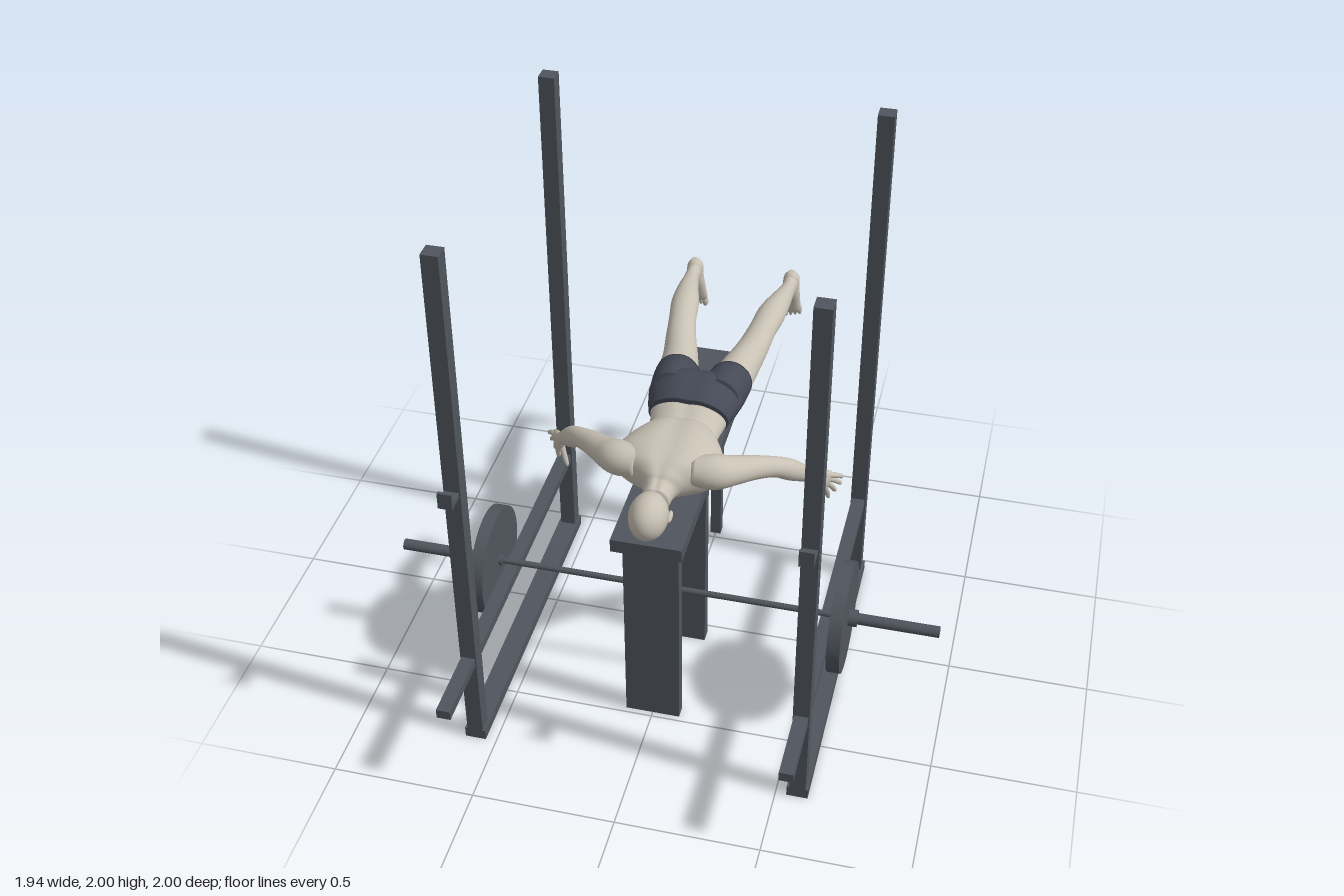
import * as THREE from 'three';

const mat = (name, color) => {
  const m = new THREE.MeshStandardMaterial({ color });
  m.name = name;
  return m;
};

// Smooth closed tube of elliptical rings; each section is [x, y, z, sideRadius, upRadius].
function loft(sections, { up = [0, 1, 0], rings = 24, sides = 28, groove = 0 } = {}) {
  const path = new THREE.CatmullRomCurve3(sections.map(s => new THREE.Vector3(s[0], s[1], s[2])), false, 'catmullrom');
  const radii = new THREE.CatmullRomCurve3(sections.map(s => new THREE.Vector3(s[3], s[4], 0)), false, 'catmullrom');
  const upRef = new THREE.Vector3(...up);
  const pos = [], idx = [];
  for (let i = 0; i <= rings; i++) {
    const u = i / rings, c = path.getPoint(u), r = radii.getPoint(u), t = path.getTangent(u);
    const side = new THREE.Vector3().crossVectors(upRef, t).normalize();
    const upv = new THREE.Vector3().crossVectors(t, side);
    for (let j = 0; j < sides; j++) {
      const a = j / sides * Math.PI * 2;
      const dip = 1 - groove * Math.exp(-((a - Math.PI / 2) ** 2) / 0.05);
      const p = c.clone().addScaledVector(side, Math.cos(a) * r.x).addScaledVector(upv, Math.sin(a) * r.y * dip);
      pos.push(p.x, p.y, p.z);
    }
  }
  for (let i = 0; i < rings; i++) {
    for (let j = 0; j < sides; j++) {
      const k = (j + 1) % sides, a = i * sides, b = a + sides;
      idx.push(a + j, a + k, b + j, a + k, b + k, b + j);
    }
  }
  // end caps
  const first = pos.length / 3, last = rings * sides;
  const p0 = path.getPoint(0), p1 = path.getPoint(1);
  pos.push(p0.x, p0.y, p0.z, p1.x, p1.y, p1.z);
  for (let j = 0; j < sides; j++) {
    const k = (j + 1) % sides;
    idx.push(first, k, j, first + 1, last + j, last + k);
  }
  const g = new THREE.BufferGeometry();
  g.setAttribute('position', new THREE.Float32BufferAttribute(pos, 3));
  g.setIndex(idx);
  g.computeVertexNormals();
  return g;
}

export function createModel() {
  const model = new THREE.Group();
  const steel = mat('dark steel', 0x50555d);
  const skin = mat('pale skin', 0xc8c1b4);
  const cloth = mat('shorts cloth', 0x444955);

  const add = (parent, name, geo, material) => {
    const mesh = new THREE.Mesh(geo, material);
    mesh.name = name;
    parent.add(mesh);
    return mesh;
  };
  const group = name => {
    const g = new THREE.Group();
    g.name = name;
    model.add(g);
    return g;
  };
  // box given by its limits on each axis
  const box = (parent, name, [x0, x1], [y0, y1], [z0, z1]) =>
    add(parent, name, new THREE.BoxGeometry(x1 - x0, y1 - y0, z1 - z0), steel)
      .position.set((x0 + x1) / 2, (y0 + y1) / 2, (z0 + z1) / 2);
  const ball = (parent, name, [x, y, z], [rx, ry, rz]) => {
    const m = add(parent, name, new THREE.SphereGeometry(1, 32, 20), skin);
    m.position.set(x, y, z);
    m.scale.set(rx, ry, rz);
    return m;
  };

  // Rack: base rails, uprights, safety bars and hooks
  const rack = group('rack');
  for (const s of [-1, 1]) {
    const span = half => [s * 0.575 - half, s * 0.575 + half];
    box(rack, 'baseRail', span(0.037), [0, 0.04], [-0.455, 0.745]);
    box(rack, 'frontUpright', span(0.028), [0, 2], [0.69, 0.745]);
    box(rack, 'rearUpright', span(0.028), [0, 2], [-0.455, -0.4]);
    box(rack, 'safetyBar', span(0.024), [0.355, 0.39], [-0.4, 1]);
    box(rack, 'hookArm', span(0.024), [1.103, 1.12], [0.745, 0.812]);
    box(rack, 'hookLip', span(0.024), [1.12, 1.163], [0.8, 0.812]);
  }

  // Bench
  const bench = group('bench');
  box(bench, 'pad', [-0.122, 0.122], [0.79, 0.84], [-0.6, 0.54]);
  box(bench, 'frontLeg', [-0.097, 0.097], [0, 0.79], [0.435, 0.48]);
  box(bench, 'middleLeg', [-0.097, 0.097], [0, 0.79], [0.035, 0.08]);
  box(bench, 'rearLeg', [-0.02, 0.02], [0, 0.79], [-0.565, -0.525]);

  // Barbell
  const barbell = group('barbell');
  barbell.position.set(0, 0.433, 0.288);
  const rod = (name, r, x0, x1, n = 32) => {
    const m = add(barbell, name, new THREE.CylinderGeometry(r, r, Math.abs(x1 - x0), n), steel);
    m.rotation.z = Math.PI / 2;
    m.position.x = (x0 + x1) / 2;
  };
  rod('shaft', 0.011, -0.61, 0.61);
  for (const s of [-1, 1]) {
    rod('sleeve', 0.02, s * 0.595, s * 0.968);
    rod('weightPlate', 0.196, s * 0.608, s * 0.654, 64);
    rod('collar', 0.03, s * 0.654, s * 0.684);
  }

  // Figure lying face down
  const figure = group('figure');
  add(figure, 'torso', loft([
    [0, 0.925, 0.42, 0.048, 0.052], [0, 0.928, 0.36, 0.055, 0.058], [0, 0.935, 0.325, 0.09, 0.075],
    [0, 0.94, 0.28, 0.17, 0.092], [0, 0.94, 0.22, 0.195, 0.1], [0, 0.938, 0.15, 0.172, 0.097],
    [0, 0.927, 0.08, 0.14, 0.088], [0, 0.91, 0.02, 0.122, 0.069], [0, 0.925, -0.07, 0.14, 0.082],
  ], { rings: 40, sides: 48, groove: 0.1 }), skin);

  ball(figure, 'cranium', [0, 0.932, 0.498], [0.066, 0.08, 0.087]);
  ball(figure, 'face', [0, 0.89, 0.468], [0.054, 0.056, 0.078]);
  for (const s of [-1, 1]) {
    ball(figure, 'ear', [s * 0.064, 0.915, 0.465], [0.009, 0.013, 0.024]).rotation.x = 0.3;
  }

  add(figure, 'shortsSeat', loft([
    [0, 0.93, -0.053, 0.143, 0.087], [0, 0.938, -0.11, 0.158, 0.097],
    [0, 0.938, -0.18, 0.168, 0.098], [0, 0.93, -0.235, 0.14, 0.075],
  ], { sides: 48, groove: 0.07 }), cloth);

  const toward = (a, b, t) => a.map((v, i) => v + (b[i] - v) * t);
  for (const s of [-1, 1]) {
    const limb = (name, sections, opts, material = skin) =>
      add(figure, name, loft(sections.map(([x, ...rest]) => [s * x, ...rest]), opts), material);

    limb('shortsLeg', [
      [0.085, 0.94, -0.15, 0.078, 0.09], [0.092, 0.935, -0.23, 0.081, 0.093], [0.097, 0.925, -0.305, 0.08, 0.08],
    ], { rings: 12 }, cloth);

    limb('leg', [
      [0.095, 0.926, -0.27, 0.077, 0.076], [0.113, 0.921, -0.4, 0.066, 0.07], [0.135, 0.938, -0.5, 0.057, 0.056],
      [0.151, 0.96, -0.59, 0.051, 0.046], [0.165, 0.968, -0.69, 0.052, 0.05], [0.178, 0.962, -0.79, 0.041, 0.044],
      [0.188, 0.952, -0.89, 0.028, 0.034], [0.19, 0.95, -0.96, 0.028, 0.034],
    ], { rings: 36 });

    limb('foot', [
      [0.19, 0.992, -0.966, 0.014, 0.014], [0.19, 0.968, -0.963, 0.03, 0.034], [0.19, 0.92, -0.964, 0.032, 0.034],
      [0.188, 0.86, -0.975, 0.037, 0.023], [0.187, 0.815, -0.981, 0.042, 0.016], [0.187, 0.8, -0.983, 0.038, 0.012],
    ], { up: [0, 0, 1] });
    for (let i = 0; i < 5; i++) {
      const r = i === 0 ? 0.012 : 0.0085;
      ball(figure, 'toe', [s * (0.154 + i * 0.0175), 0.79 + i * 0.005, -0.985], [r, 0.022, r]);
    }

    limb('arm', [
      [0.09, 0.965, 0.275, 0.05, 0.05], [0.165, 0.962, 0.26, 0.062, 0.06], [0.22, 0.948, 0.22, 0.054, 0.05],
      [0.285, 0.93, 0.165, 0.043, 0.041], [0.345, 0.905, 0.115, 0.036, 0.036], [0.39, 0.86, 0.063, 0.036, 0.038],
      [0.44, 0.795, -0.005, 0.024, 0.027], [0.466, 0.762, -0.035, 0.019, 0.024],
    ], { rings: 36 });

    // Hand: palm, four fingers and thumb
    const wrist = [0.461, 0.768, -0.03];
    limb('palm', [
      [...wrist, 0.018, 0.023], [0.476, 0.745, -0.05, 0.018, 0.034], [0.495, 0.718, -0.08, 0.014, 0.04],
      [0.503, 0.708, -0.092, 0.008, 0.033],
    ], { rings: 12 });
    const fingers = [
      [[0.512, 0.738, -0.095], [0.546, 0.695, -0.146]], [[0.507, 0.72, -0.095], [0.54, 0.66, -0.15]],
      [[0.501, 0.703, -0.09], [0.522, 0.63, -0.14]], [[0.494, 0.687, -0.083], [0.502, 0.617, -0.112]],
      [[0.466, 0.735, -0.04], [0.44, 0.652, -0.022]],
    ];
    for (const [root, tip] of fingers) {
      limb(root[2] > -0.05 ? 'thumb' : 'finger', [
        [...toward(root, wrist, 0.2), 0.011, 0.011], [...toward(root, tip, 0.4), 0.01, 0.01],
        [...toward(root, tip, 0.85), 0.008, 0.008], [...tip, 0.003, 0.003],
      ], { rings: 10, sides: 12 });
    }
  }
  return model;
}
